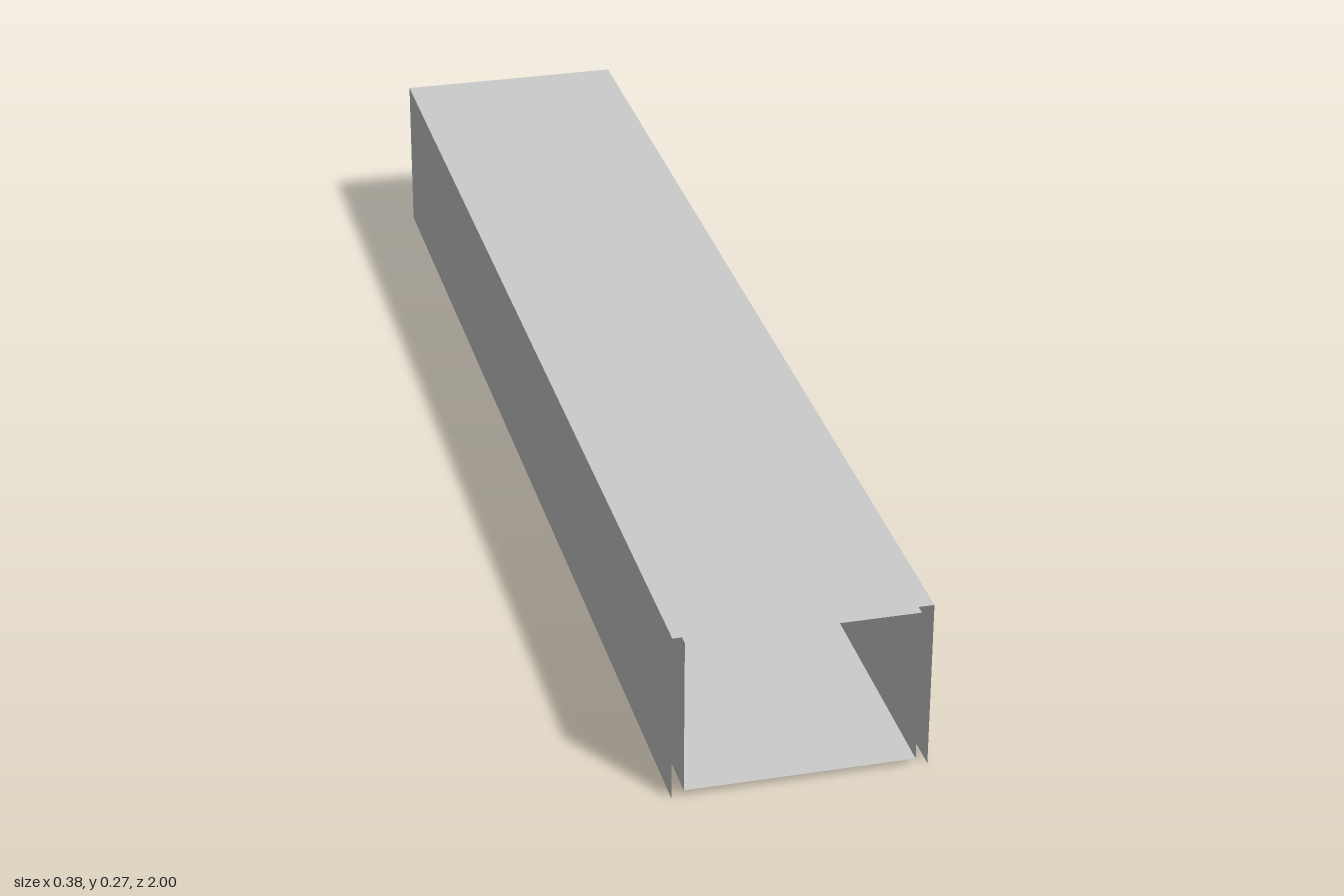
import * as THREE from 'three';

const material = new THREE.MeshStandardMaterial({ color: 0xcccccc, flatShading: true, side: THREE.DoubleSide });

// Thin open-ended sheet: sweeps [x, y] points from z0 to z1
// (the far edge may be raised to slope the sheet).
function sheet(name, points, z0, z1, rise = 0) {
  const pos = [];
  for (let i = 0; i < points.length - 1; i++) {
    const [ax, ay] = points[i], [bx, by] = points[i + 1];
    const a = [ax, ay, z0], b = [bx, by, z0];
    const c = [bx, by + rise, z1], d = [ax, ay + rise, z1];
    pos.push(...a, ...b, ...c, ...a, ...c, ...d);
  }
  const geometry = new THREE.BufferGeometry();
  geometry.setAttribute('position', new THREE.Float32BufferAttribute(pos, 3));
  geometry.computeVertexNormals();
  const mesh = new THREE.Mesh(geometry, material);
  mesh.name = name;
  return mesh;
}

export function createModel() {
  const group = new THREE.Group();
  group.name = 'openEndedBox';

  const W = 0.19, H = 0.266;                 // outer half width and height
  const w = 0.172, floor = 0.011, roof = 0.256; // inner lining
  const railTop = 0.058, railIn = 0.142, railWall = 0.147;
  const back = -1, railFront = 0;

  // Outer shell: two sides and a roof, open below
  group.add(sheet('outerShell', [[W, 0], [W, H], [-W, H], [-W, 0]], 1, -1));

  // Inner lining: closed rectangular tube with the floor
  group.add(sheet('innerLining', [[w, floor], [w, roof], [-w, roof], [-w, floor], [w, floor]], 1, -1));

  // Rails along the rear side walls: upright plate plus a sloping top
  for (const s of [1, -1]) {
    const rail = new THREE.Group();
    rail.name = s > 0 ? 'leftRail' : 'rightRail';
    const plate = new THREE.Mesh(
      new THREE.BoxGeometry(railWall - railIn, railTop - floor, railFront - back), material);
    plate.name = 'railPlate';
    plate.position.set(s * (railIn + railWall) / 2, (floor + railTop) / 2, (railFront + back) / 2);
    rail.add(plate);
    rail.add(sheet('railSlope', [[s * railWall, floor], [s * w, floor]], railFront, back, railTop - floor));
    group.add(rail);
  }
  return group;
}
